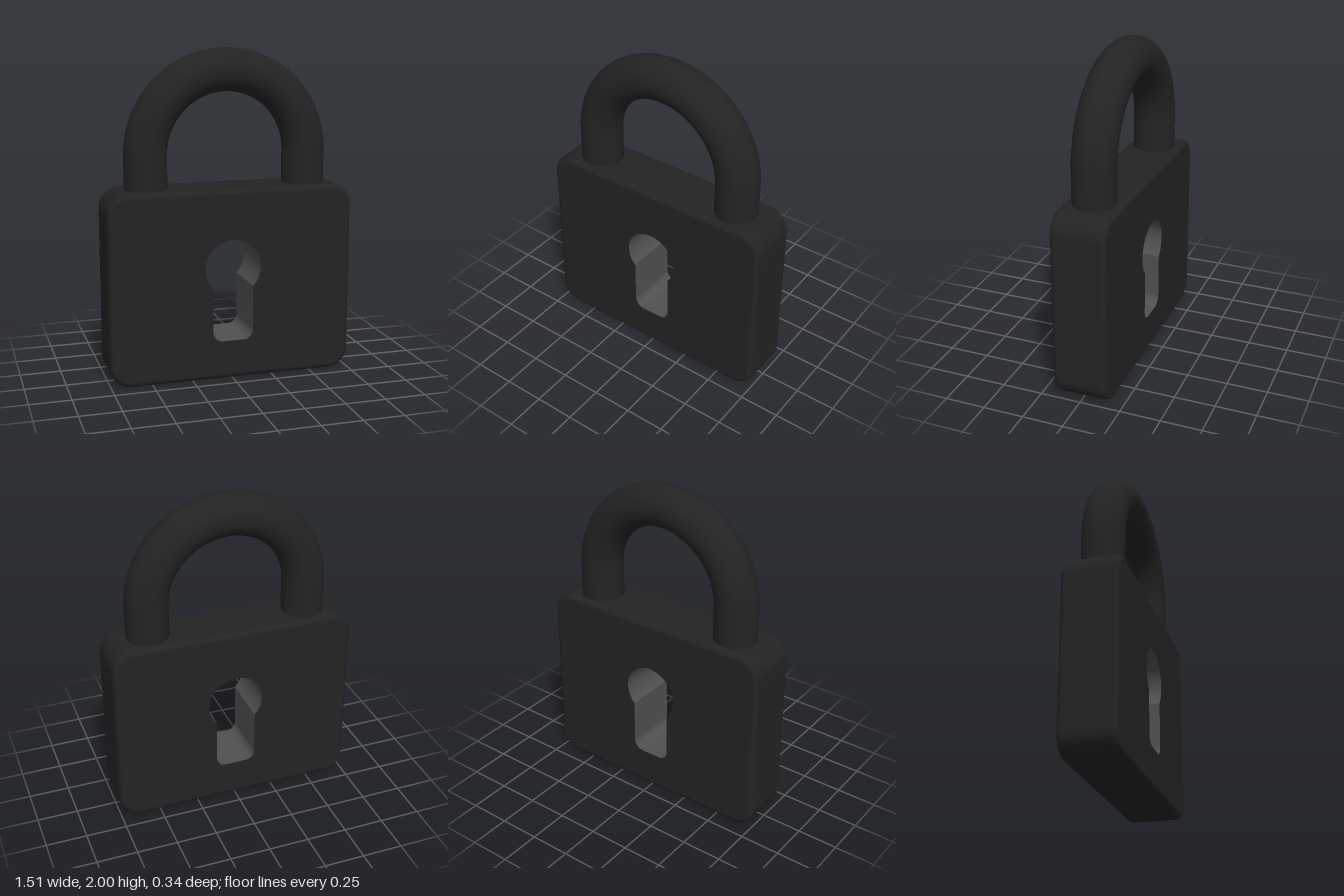
import * as THREE from 'three';
import { toCreasedNormals } from 'three/addons/utils/BufferGeometryUtils.js';

const HALF_W = 0.755, HEIGHT = 1.175, HALF_D = 0.171;
const CORNER = 0.13, BEVEL = 0.036;
const BEND = 0.4935, BAR = 0.1295, BEND_Y = 2 - BEND - BAR;

// Skin closed rings of equal length; counter-clockwise rings running towards +z face outwards
function loft(rings, normals) {
  const n = rings[0].length, index = [];
  for (let k = 0; k < rings.length - 1; k++) {
    for (let i = 0; i < n; i++) {
      const a = k * n + i, b = k * n + (i + 1) % n;
      index.push(a, b, b + n, a, b + n, a + n);
    }
  }
  const g = new THREE.BufferGeometry();
  g.setAttribute('position', new THREE.Float32BufferAttribute(rings.flat(2), 3));
  if (normals) g.setAttribute('normal', new THREE.Float32BufferAttribute(normals.flat(2), 3));
  g.setIndex(index);
  return g;
}

// Rounded rectangle: one entry per outline point with corner centre and outward direction
function outline(steps = 12) {
  const out = [], cx = HALF_W - CORNER, cy = HEIGHT / 2 - CORNER;
  [[1, 1], [-1, 1], [-1, -1], [1, -1]].forEach(([sx, sy], q) => {
    for (let i = 0; i <= steps; i++) {
      const a = (q + i / steps) * Math.PI / 2;
      out.push({ x: sx * cx, y: HEIGHT / 2 + sy * cy, dx: Math.cos(a), dy: Math.sin(a) });
    }
  });
  return out;
}

// Sides of the body with rounded front and back edges
function rimGeometry(pts) {
  const rings = [], normals = [], steps = 6;
  for (const side of [-1, 1]) {
    for (let j = 0; j <= steps; j++) {
      const t = (side < 0 ? j / steps - 1 : j / steps) * Math.PI / 2;
      const c = Math.cos(t), s = Math.sin(t);
      const r = CORNER - BEVEL + BEVEL * c, z = side * (HALF_D - BEVEL) + BEVEL * s;
      rings.push(pts.map(p => [p.x + p.dx * r, p.y + p.dy * r, z]));
      normals.push(pts.map(p => [p.dx * c, p.dy * c, s]));
    }
  }
  return loft(rings, normals);
}

// Keyhole: round top with a soft-cornered slot below
function keyholePath() {
  const w = 0.125, bottom = 0.242, soft = 0.06, radius = 0.173, cy = 0.695;
  const a = Math.acos(w / radius);
  const path = new THREE.Path();
  path.absarc(-w + soft, bottom + soft, soft, Math.PI, 1.5 * Math.PI, false);
  path.absarc(w - soft, bottom + soft, soft, 1.5 * Math.PI, 2 * Math.PI, false);
  path.absarc(0, cy, radius, -a, Math.PI + a, false);
  return path;
}

export function createModel() {
  const black = new THREE.MeshStandardMaterial({ color: 0x232323 });
  black.name = 'black';
  const grey = new THREE.MeshStandardMaterial({ color: 0x505050 });
  grey.name = 'grey';

  const model = new THREE.Group();
  model.name = 'padlock';
  const add = (name, geometry, material, parent) => {
    const mesh = new THREE.Mesh(geometry, material);
    mesh.name = name;
    parent.add(mesh);
    return mesh;
  };

  // Body: rounded rim plus two flat faces pierced by the keyhole
  const body = new THREE.Group();
  body.name = 'body';
  model.add(body);
  const pts = outline();
  add('bodyRim', rimGeometry(pts), black, body);

  const inset = CORNER - BEVEL;
  const face = new THREE.Shape(pts.map(p => new THREE.Vector2(p.x + p.dx * inset, p.y + p.dy * inset)));
  const keyhole = keyholePath();
  face.holes.push(keyhole);
  const faceGeometry = new THREE.ShapeGeometry(face, 16);
  add('frontFace', faceGeometry, black, body).position.z = HALF_D;
  const back = add('backFace', faceGeometry, black, body);
  back.position.z = -HALF_D;
  back.rotation.y = Math.PI;

  // Keyhole lining, facing into the opening
  const hole = keyhole.getPoints(16);
  const lining = loft([HALF_D, -HALF_D].map(z => hole.map(p => [p.x, p.y, z])));
  add('keyholeLining', toCreasedNormals(lining, 0.6), grey, body);

  // Shackle: half ring on two straight legs
  const shackle = new THREE.Group();
  shackle.name = 'shackle';
  model.add(shackle);
  add('shackleBend', new THREE.TorusGeometry(BEND, BAR, 40, 64, Math.PI), black, shackle).position.y = BEND_Y;
  const foot = HEIGHT - 0.03;
  const legGeometry = new THREE.CylinderGeometry(BAR, BAR, BEND_Y - foot, 40, 1, true);
  for (const [name, s] of [['leftLeg', 1], ['rightLeg', -1]]) {
    add(name, legGeometry, black, shackle).position.set(s * BEND, (BEND_Y + foot) / 2, 0);
  }

  return model;
}
